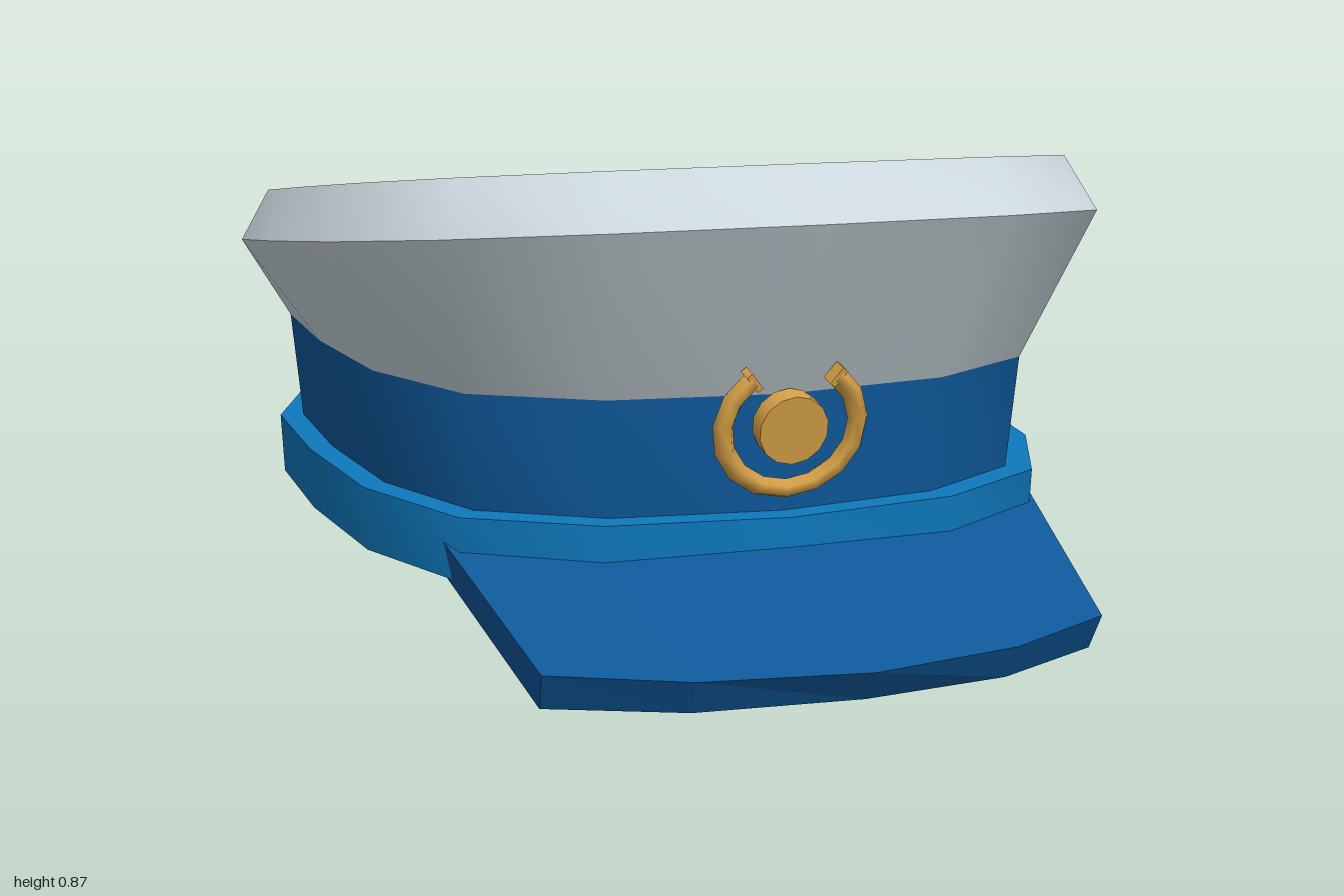
import * as THREE from 'three';

const mat = (name, color) => Object.assign(new THREE.MeshStandardMaterial({ color }), { name });

// Right half of the hat outline seen from above, back to front: [x, z]
const HALF = [[0, -1], [0.42, -0.94], [0.7, -0.75], [0.8, -0.46], [0.79, -0.1],
  [0.74, 0.27], [0.61, 0.56], [0.36, 0.71], [0, 0.76]];
const OUTLINE = [...HALF, ...HALF.slice(1, -1).reverse().map(([x, z]) => [-x, z])];

// Ring of points: outline fitted to a half width and a z range, height y0 at front, y1 at back
function ring(width, front, back, y0, y1 = y0) {
  return OUTLINE.map(([x, z]) => {
    const t = (z + 1) / 1.76;
    return [x * width / 0.8, y1 + (y0 - y1) * t, back + (front - back) * t];
  });
}

// Smooth wall between two rings, listed from the bottom up
function wall(name, lower, upper, material) {
  const n = lower.length, index = [];
  for (let i = 0; i < n; i++) {
    const j = (i + 1) % n;
    index.push(i, n + i, n + j, i, n + j, j);
  }
  const g = new THREE.BufferGeometry();
  g.setAttribute('position', new THREE.Float32BufferAttribute([...lower, ...upper].flat(), 3));
  g.setIndex(index);
  g.computeVertexNormals();
  const mesh = new THREE.Mesh(g, material);
  mesh.name = name;
  return mesh;
}

// Sloping peak: four-point sections from one side to the other, flat shaded
function makeVisor(material) {
  // back top, front top, front bottom, back bottom
  const half = [
    [[0.58, 0.195, 0.36], [0.508, 0.069, 0.815], [0.503, 0, 0.78], [0.57, 0.121, 0.36]],
    [[0.33, 0.18, 0.55], [0.285, 0.073, 0.935], [0.28, 0.009, 0.9], [0.33, 0.121, 0.54]],
  ];
  const mid = [[0, 0.19, 0.6], [0, 0.08, 1], [0, 0.02, 0.955], [0, 0.121, 0.58]];
  const flip = (s) => s.map(([x, y, z]) => [-x, y, z]);
  const sections = [flip(half[0]), flip(half[1]), mid, half[1], half[0]];
  const pos = [];
  const quad = (a, b, c, d) => pos.push(...a, ...b, ...c, ...a, ...c, ...d);
  for (let i = 0; i < sections.length - 1; i++) {
    const s = sections[i], t = sections[i + 1];
    for (let k = 0; k < 4; k++) quad(s[k], s[(k + 1) % 4], t[(k + 1) % 4], t[k]);
  }
  const [l, r] = [sections[0], sections[4]];
  quad(l[0], l[3], l[2], l[1]);
  quad(r[0], r[1], r[2], r[3]);
  const g = new THREE.BufferGeometry();
  g.setAttribute('position', new THREE.Float32BufferAttribute(pos, 3));
  g.computeVertexNormals();
  const mesh = new THREE.Mesh(g, material);
  mesh.name = 'visor';
  return mesh;
}

// Open wreath ring around a round button, leaning with the wall
function makeBadge(material) {
  const badge = new THREE.Group();
  badge.name = 'badge';
  const arc = THREE.MathUtils.degToRad(284);
  const torus = new THREE.TorusGeometry(0.126, 0.019, 6, 12, arc);
  torus.rotateZ(Math.PI * 1.5 - arc / 2);
  const wreath = new THREE.Mesh(torus, material);
  wreath.name = 'badgeWreath';
  wreath.scale.y = 0.94;
  badge.add(wreath);
  // closed wreath tips
  for (const side of [-1, 1]) {
    const a = Math.PI * 1.5 + side * arc / 2;
    const tip = new THREE.Mesh(new THREE.BoxGeometry(0.036, 0.012, 0.032), material);
    tip.name = side < 0 ? 'rightWreathTip' : 'leftWreathTip';
    tip.position.set(Math.cos(a) * 0.126, Math.sin(a) * 0.118, 0);
    tip.rotation.z = a;
    badge.add(tip);
  }
  const disc = new THREE.CylinderGeometry(0.064, 0.064, 0.04, 14);
  disc.rotateX(Math.PI / 2);
  const button = new THREE.Mesh(disc, material);
  button.name = 'badgeButton';
  badge.add(button);
  badge.position.set(0, 0.4, 0.605);
  badge.rotation.x = 0.19;
  return badge;
}

export function createModel() {
  const white = mat('clothWhite', 0xcddae0);
  const navy = mat('bandBlue', 0x0e5899);
  const blue = mat('trimBlue', 0x0e78bc);
  const gold = mat('badgeGold', 0xd6a148);

  const trimLow = ring(0.725, 0.615, -0.965, 0.12);
  const trimTop = ring(0.73, 0.62, -0.97, 0.24);
  const bandLow = ring(0.683, 0.57, -0.94, 0.24);
  const bandTop = ring(0.703, 0.588, -0.947, 0.455);
  const brim = ring(0.8, 0.76, -1, 0.775, 0.55);
  const top = ring(0.745, 0.693, -0.95, 0.87, 0.655);
  const point = (y, z) => OUTLINE.map(() => [0, y, z]);

  const hat = new THREE.Group();
  hat.name = 'peakedCap';
  hat.add(
    wall('underside', point(0.12, -0.175), trimLow, blue),
    wall('trimStrip', trimLow, trimTop, blue),
    wall('trimLedge', trimTop, bandLow, blue),
    wall('band', bandLow, bandTop, navy),
    wall('crownWall', bandTop, brim, white),
    wall('crownBevel', brim, top, white),
    wall('crownTop', top, point(0.7625, -0.1285), white),
    makeVisor(navy),
    makeBadge(gold),
  );
  return hat;
}
